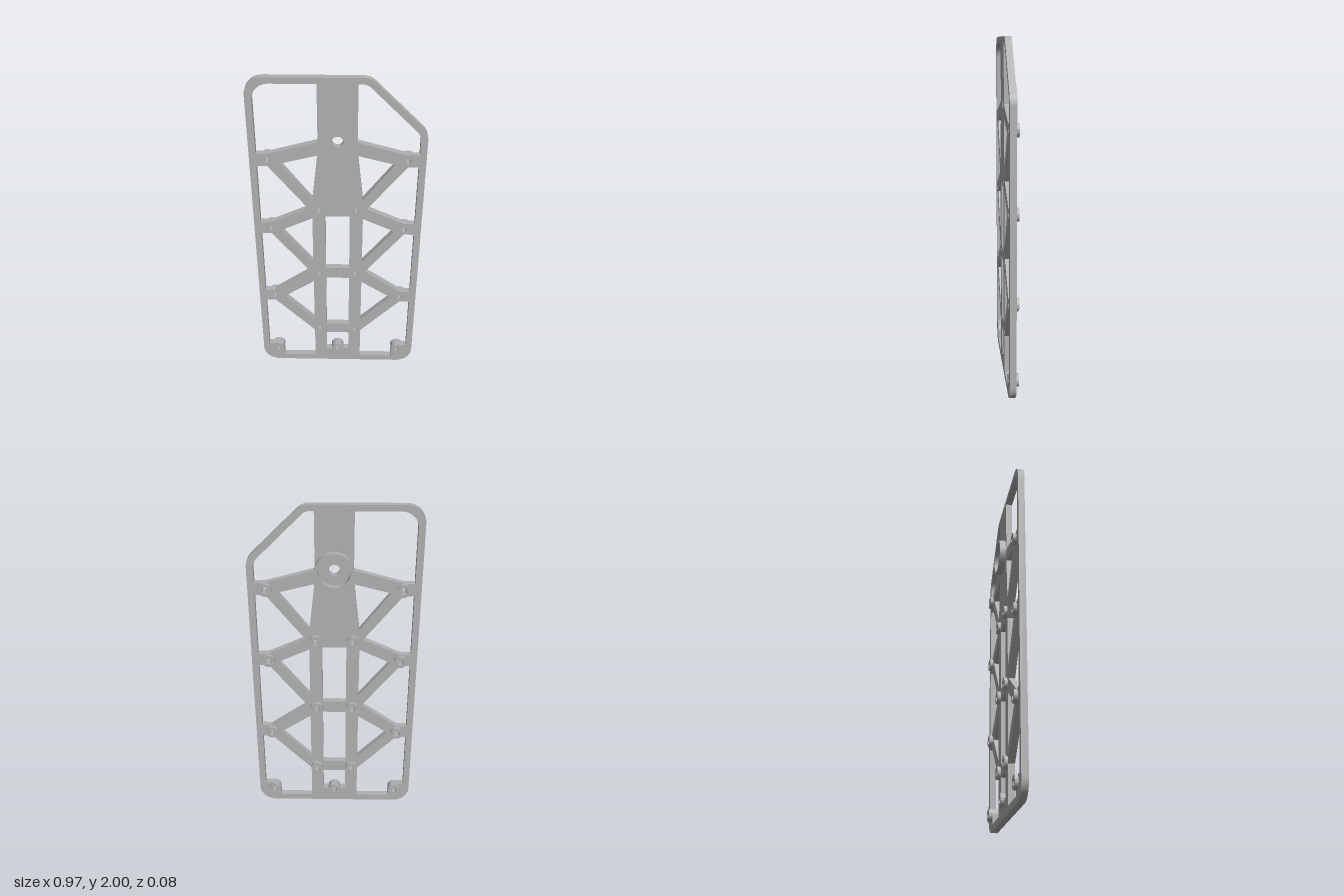
import * as THREE from 'three';
import { toCreasedNormals } from 'three/addons/utils/BufferGeometryUtils.js';

// Corner list [x, y, filletRadius?] -> points with rounded corners
function fillet(corners) {
  const out = [];
  corners.forEach(([x, y, r], i) => {
    const p = new THREE.Vector2(x, y);
    if (!r) return out.push(p);
    const n = corners.length;
    const a = new THREE.Vector2(...corners[(i + n - 1) % n].slice(0, 2)).sub(p).normalize();
    const b = new THREE.Vector2(...corners[(i + 1) % n].slice(0, 2)).sub(p).normalize();
    const half = Math.acos(a.dot(b)) / 2;
    const c = a.clone().add(b).normalize().multiplyScalar(r / Math.sin(half)).add(p);
    const t = r / Math.tan(half);
    const s = a.multiplyScalar(t).add(p).sub(c), e = b.multiplyScalar(t).add(p).sub(c);
    const start = s.angle();
    let sweep = e.angle() - start;
    if (sweep > Math.PI) sweep -= 2 * Math.PI;
    if (sweep < -Math.PI) sweep += 2 * Math.PI;
    for (let k = 0; k <= 10; k++) {
      const ang = start + sweep * k / 10;
      out.push(new THREE.Vector2(c.x + r * Math.cos(ang), c.y + r * Math.sin(ang)));
    }
  });
  return out;
}

const mirror = (list) => list.map(([x, ...rest]) => [-x, ...rest]);
const circle = (x, y, r) => new THREE.Path().absarc(x, y, r, 0, Math.PI * 2, false);

function extrude(shape, depth) {
  const geo = new THREE.ExtrudeGeometry(shape, { depth, bevelEnabled: false, curveSegments: 20 });
  return toCreasedNormals(geo, 0.6);
}

export function createModel() {
  const group = new THREE.Group();
  const grey = new THREE.MeshStandardMaterial({ color: 0xb0b0b0 });
  const T = 0.038, R = 0.038;
  const add = (name, shape, depth, x, y, z) => {
    const mesh = new THREE.Mesh(extrude(shape, depth), grey);
    mesh.name = name;
    mesh.position.set(x, y, z);
    group.add(mesh);
  };

  // Screw positions
  const screws = [[0, 0.1]];
  for (const s of [-1, 1]) {
    for (const y of [0.1, 0.552, 1.063, 1.517]) screws.push([s * 0.387, y]);
    for (const y of [0.278, 0.732, 1.19]) screws.push([s * 0.108, y]);
  }

  // Plate outline with one cut-off top corner
  const plate = new THREE.Shape(fillet([
    [-0.485, 0, 0.1], [0.485, 0, 0.1], [0.485, 1.69, 0.1], [0.17, 2, 0.1], [-0.485, 2, 0.1],
  ]));

  // Windows repeated on both sides
  const sideWindows = [
    [[-0.447, 1.48], [-0.387, 1.48], [-0.167, 1.203], [-0.387, 1.103], [-0.447, 1.103]],
    [[-0.447, 1.028], [-0.387, 1.028], [-0.165, 0.748], [-0.387, 0.592], [-0.447, 0.592]],
    [[-0.447, 0.515], [-0.387, 0.515], [-0.146, 0.265], [-0.146, 0.04], [-0.35, 0.04],
      [-0.35, 0.137, 0.037], [-0.447, 0.137]],
    [[-0.318, 1.496], [-0.111, 1.549], [-0.143, 1.265]],
    [[-0.328, 1.05], [-0.146, 1.135], [-0.146, 0.82]],
    [[-0.328, 0.546], [-0.146, 0.668], [-0.146, 0.358]],
  ];
  // Centre slots and the two upper windows
  const windows = [
    ...sideWindows, ...sideWindows.map(mirror),
    [[-0.07, 1.15], [0.07, 1.15], [0.07, 0.773], [-0.07, 0.773]],
    [[-0.07, 0.698], [0.07, 0.698], [0.07, 0.318], [-0.07, 0.318]],
    [[-0.07, 0.244], [0.07, 0.244], [0.07, 0.1], [0.037, 0.1], [0.037, 0.137, 0.0369],
      [-0.037, 0.137, 0.0369], [-0.037, 0.1], [-0.07, 0.1]],
    [[-0.447, 1.965, 0.09], [-0.108, 1.965], [-0.108, 1.631], [-0.387, 1.555], [-0.447, 1.555]],
    [[0.108, 1.965], [0.155, 1.965, 0.063], [0.447, 1.675, 0.08], [0.447, 1.555],
      [0.387, 1.555], [0.108, 1.631]],
  ];
  for (const w of windows) plate.holes.push(new THREE.Path(fillet(w)));
  for (const [x, y] of screws) plate.holes.push(circle(x, y, 0.015));
  plate.holes.push(circle(0, 1.633, 0.032));
  add('plate', plate, T, 0, 0, 0);

  // Ring-shaped raised parts on the back
  const ring = (outer, inner) => {
    const s = new THREE.Shape().absarc(0, 0, outer, 0, Math.PI * 2, false);
    s.holes.push(circle(0, 0, inner));
    return s;
  };
  for (const [x, y] of screws) add('screwBoss', ring(R, 0.018), 0.02, x, y, -0.02);
  add('bearingCup', ring(0.108, 0.09), 0.039, 0, 1.633, -0.039);

  return group;
}
